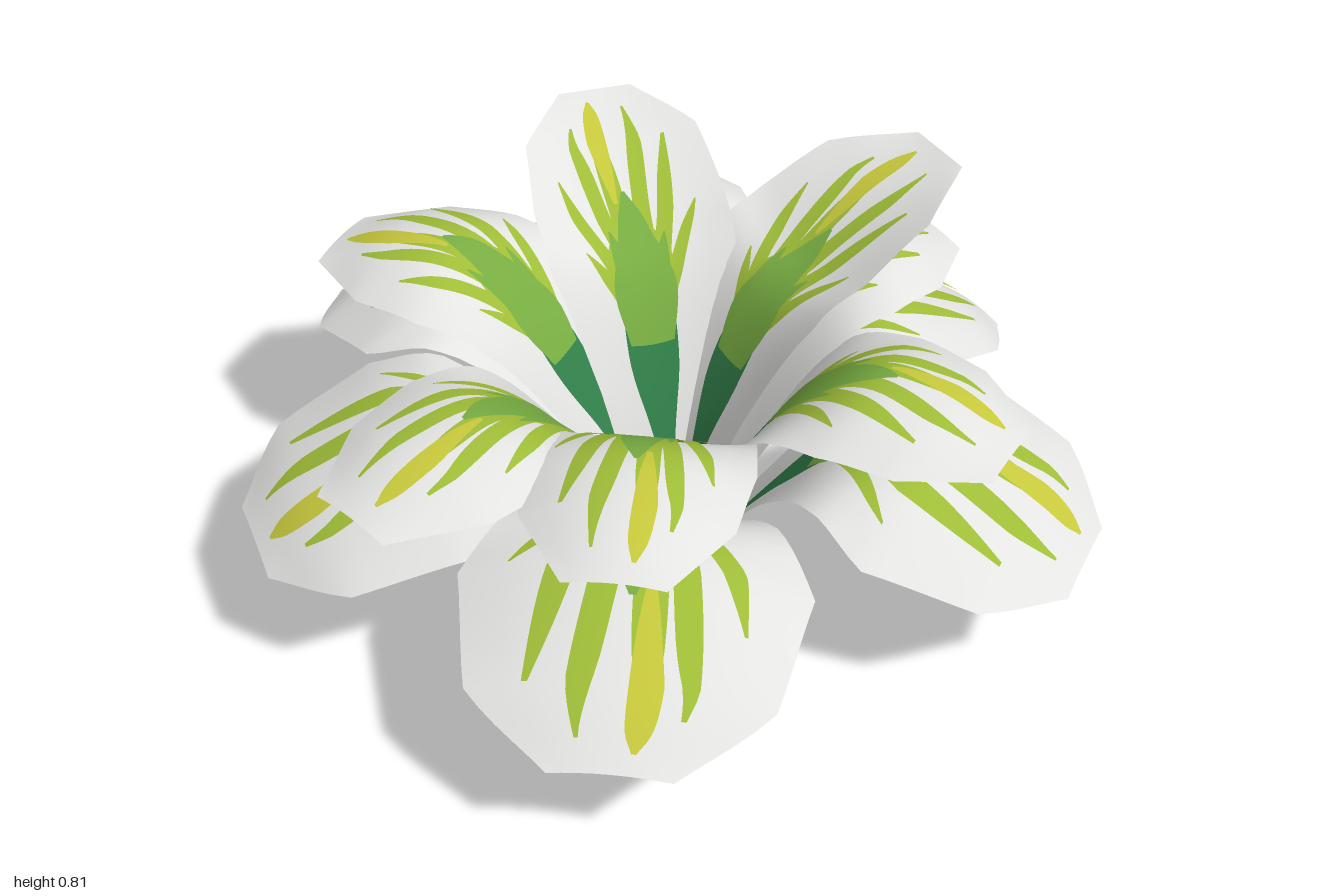
import * as THREE from 'three';
import { mergeGeometries } from 'three/addons/utils/BufferGeometryUtils.js';

const mat = (name, color) => {
  const m = new THREE.MeshStandardMaterial({ color, side: THREE.DoubleSide });
  m.name = name;
  return m;
};

// Leaf profiles from base to tip: [radius fraction, height, half width, edge lift]
const TIERS = {
  lower: [[0.11, 0.01, 0.07, 0.02], [0.3, 0.26, 0.15, 0.03], [0.46, 0.43, 0.27, 0.0],
    [0.62, 0.475, 0.355, -0.08], [0.86, 0.38, 0.3, -0.05], [1, 0.285, 0.12, -0.01]],
  middle: [[0.05, 0.01, 0.075, 0.02], [0.24, 0.31, 0.15, 0.04], [0.41, 0.52, 0.22, 0.02],
    [0.6, 0.64, 0.235, -0.055], [0.8, 0.64, 0.21, -0.06], [1, 0.58, 0.1, -0.01]],
  upper: [[0.02, 0.01, 0.07, 0.02], [0.15, 0.3, 0.135, 0.05], [0.33, 0.55, 0.215, 0.07],
    [0.52, 0.65, 0.22, 0.05], [0.76, 0.755, 0.2, 0.03], [1, 0.82, 0.085, 0.0]],
};

// Leaves: [tier, angle in degrees from +x towards +z, reach, width factor]
const LEAVES = [
  ['lower', 0, 0.965, 1], ['lower', 70, 1.02, 1], ['lower', 131, 0.95, 1],
  ['lower', 195, 0.98, 1], ['lower', 271, 1.0, 1], ['lower', 300, 0.89, 0.75],
  ['middle', 6, 0.81, 1], ['middle', 71, 0.82, 1], ['middle', 108, 0.88, 1],
  ['middle', 178, 0.83, 1], ['middle', 239, 0.67, 1], ['middle', 301, 0.72, 1],
  ['upper', 305, 0.68, 1], ['upper', 227, 0.62, 1],
];

// Painted streaks as points [along, across, half width], across measured from the midrib
const PAINT = {
  darkGreen: [[[0.06, 0.1, 0.1], [0.15, 0.04, 0.24], [0.25, 0, 0.36], [0.36, 0, 0.3]]],
  lime: [
    [[0.38, 0, 0.3], [0.46, 0, 0.34], [0.53, -0.01, 0.26], [0.6, -0.02, 0.1]],
    [[0.46, -0.05, 0.12], [0.6, -0.1, 0.1], [0.74, -0.15, 0.1], [0.86, -0.2, 0.05]],
    [[0.46, 0.08, 0.12], [0.62, 0.14, 0.09], [0.78, 0.24, 0.09], [0.92, 0.36, 0.02]],
    [[0.42, 0.2, 0.1], [0.56, 0.34, 0.09], [0.68, 0.46, 0.08], [0.8, 0.6, 0.02]],
    [[0.36, 0.24, 0.1], [0.45, 0.42, 0.08], [0.54, 0.58, 0.06], [0.6, 0.7, 0.01]],
    [[0.46, -0.14, 0.1], [0.6, -0.28, 0.08], [0.74, -0.4, 0.08], [0.86, -0.52, 0.02]],
    [[0.4, -0.22, 0.1], [0.5, -0.4, 0.08], [0.6, -0.55, 0.07], [0.7, -0.7, 0.01]],
    [[0.35, -0.24, 0.08], [0.42, -0.4, 0.07], [0.48, -0.56, 0.01]],
  ],
  green: [
    [[0.29, 0, 0.3], [0.36, 0, 0.36], [0.43, 0, 0.3], [0.52, 0, 0.2], [0.6, 0.0, 0.13], [0.67, -0.02, 0.02]],
    [[0.38, 0.18, 0.1], [0.46, 0.24, 0.07], [0.53, 0.31, 0.01]],
    [[0.4, -0.18, 0.1], [0.48, -0.22, 0.07], [0.56, -0.26, 0.01]],
  ],
  yellow: [
    [[0.64, -0.12, 0.02], [0.73, -0.15, 0.08], [0.83, -0.19, 0.12], [0.9, -0.22, 0.12], [0.95, -0.25, 0.03]],
  ],
};

// Point on a leaf: s runs base to tip, t runs edge to edge (-1 to 1)
function makeSurface(rows, angle, reach, width) {
  const profile = new THREE.CatmullRomCurve3(
    rows.map(([r, y, , lift]) => new THREE.Vector3(r * reach, y, lift)), false, 'catmullrom', 0.5);
  const dir = new THREE.Vector3(Math.cos(angle), 0, Math.sin(angle));
  const side = new THREE.Vector3(-dir.z, 0, dir.x);
  const point = (s, t) => {
    const c = THREE.MathUtils.clamp(s, 0, 1);
    const p = profile.getPoint(c);
    const k = Math.min(c * 5, 4.9999), i = Math.floor(k);
    const w = width * THREE.MathUtils.lerp(rows[i][2], rows[i + 1][2], k - i);
    return dir.clone().multiplyScalar(p.x).addScaledVector(side, w * t).setY(p.y + p.z * t * t);
  };
  const normal = (s, t) => {
    const e = 0.01;
    const a = point(s, t + e).sub(point(s, t - e));
    const b = point(Math.min(s + e, 1), t).sub(point(Math.max(s - e, 0), t));
    return a.cross(b).normalize();
  };
  return { point, normal };
}

// Grid of (nu + 1) x (nv + 1) points turned into a smooth sheet
function sheet(nu, nv, fn) {
  const pos = [], index = [];
  for (let i = 0; i <= nu; i++) {
    for (let j = 0; j <= nv; j++) {
      pos.push(...fn(i / nu, j / nv).toArray());
      if (i < nu && j < nv) {
        const a = i * (nv + 1) + j, b = a + nv + 1;
        index.push(a, a + 1, b, a + 1, b + 1, b);
      }
    }
  }
  const g = new THREE.BufferGeometry();
  g.setAttribute('position', new THREE.Float32BufferAttribute(pos, 3));
  g.setIndex(index);
  g.computeVertexNormals();
  return g;
}

// One streak laid just off the leaf surface
function streak(surface, points, offset) {
  const path = new THREE.CatmullRomCurve3(points.map((p) => new THREE.Vector3(...p)));
  return sheet(16, 4, (u, v) => {
    const p = path.getPoint(u);
    const t = p.y + Math.max(p.z, 0.005) * (2 * v - 1);
    return surface.point(p.x, t).addScaledVector(surface.normal(p.x, t), offset);
  });
}

export function createModel() {
  const white = mat('leaf white', 0xe4e4e2);
  const paints = {
    darkGreen: mat('dark green', 0x32804a),
    green: mat('leaf green', 0x78ad42),
    lime: mat('lime green', 0x9fbd38),
    yellow: mat('yellow green', 0xc6c83c),
  };
  const plant = new THREE.Group();
  plant.name = 'plant';

  LEAVES.forEach(([tier, degrees, reach, width], n) => {
    const leaf = new THREE.Group();
    leaf.name = `${tier}Leaf${n + 1}`;
    const surface = makeSurface(TIERS[tier], THREE.MathUtils.degToRad(degrees), reach, width);

    // Blade
    const blade = new THREE.Mesh(sheet(25, 8, (u, v) => surface.point(u, 2 * v - 1)), white);
    blade.name = 'blade';
    leaf.add(blade);

    // Streaks on both faces, each colour slightly above the one before
    Object.entries(PAINT).forEach(([colour, streaks], k) => {
      const lift = 0.003 + k * 0.001;
      const parts = [lift, -lift].flatMap((o) => streaks.map((p) => streak(surface, p, o)));
      const mesh = new THREE.Mesh(mergeGeometries(parts), paints[colour]);
      mesh.name = `${colour}Streaks`;
      leaf.add(mesh);
    });
    plant.add(leaf);
  });
  return plant;
}
